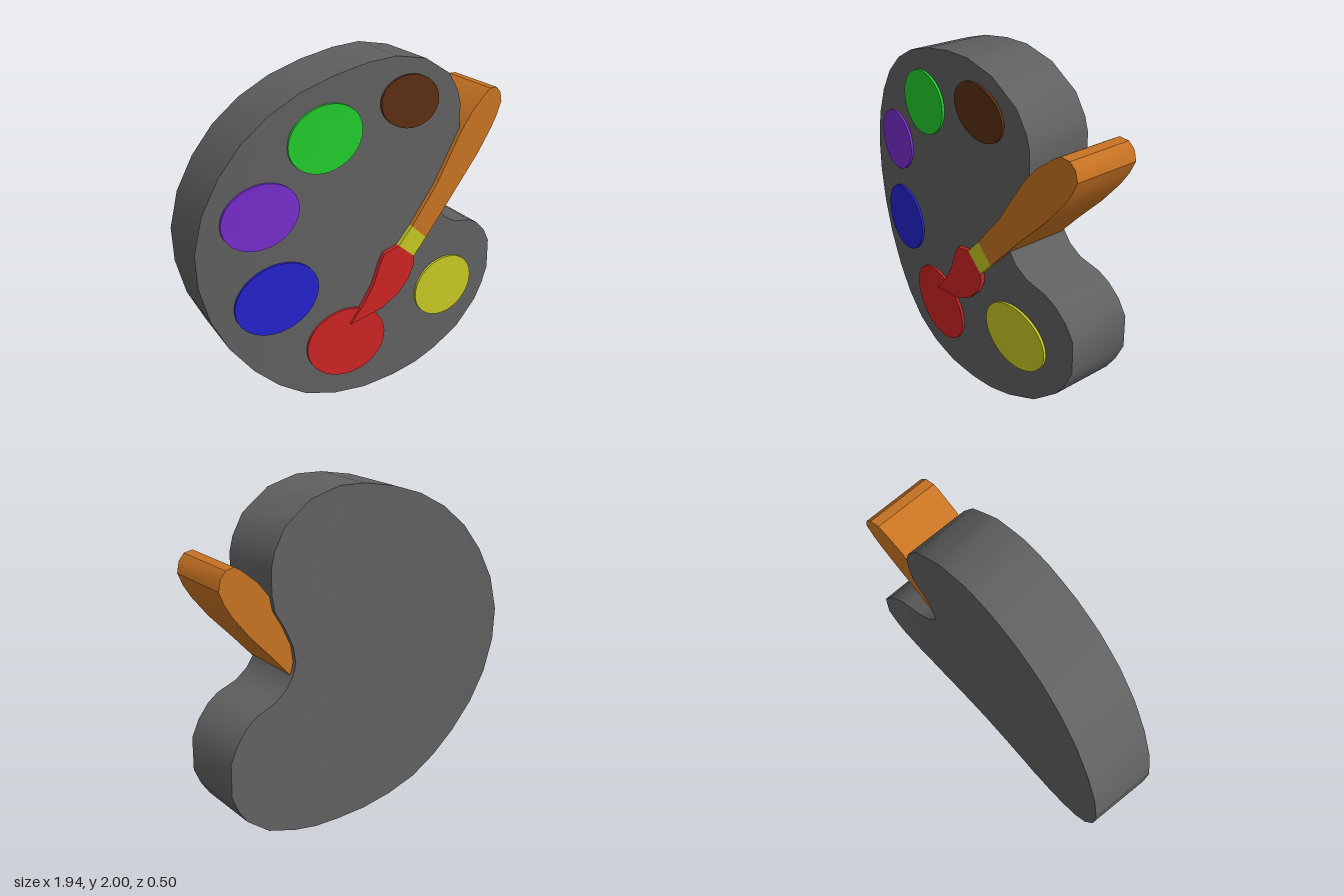
import * as THREE from 'three';
import { toCreasedNormals } from 'three/addons/utils/BufferGeometryUtils.js';

const BACK = -0.155, FRONT = 0.22;

// Split a triangle until no edge spans much in x, so it can bend smoothly
function splitTriangle(tri, out) {
  let k = 0, span = 0;
  for (let i = 0; i < 3; i++) {
    const d = Math.abs(tri[i].x - tri[(i + 1) % 3].x);
    if (d > span) { span = d; k = i; }
  }
  if (span < 0.13) {
    for (const p of tri) out.push(p.x, p.y, p.z);
    return;
  }
  const a = tri[k], b = tri[(k + 1) % 3], c = tri[(k + 2) % 3];
  const m = a.clone().add(b).multiplyScalar(0.5);
  splitTriangle([a, m, c], out);
  splitTriangle([m, b, c], out);
}

// Extrude an outline between two depths and bow it backwards towards the sides
function bowedSlab(points, back, front) {
  const flat = new THREE.ExtrudeGeometry(new THREE.Shape(points), {
    depth: front - back, bevelEnabled: false, curveSegments: 1,
  });
  const src = flat.index ? flat.toNonIndexed() : flat;
  const pos = src.attributes.position;
  const out = [];
  for (let i = 0; i < pos.count; i += 3) {
    splitTriangle([0, 1, 2].map((j) => new THREE.Vector3().fromBufferAttribute(pos, i + j)), out);
  }
  for (let i = 0; i < out.length; i += 3) {
    const x = out[i], z = out[i + 2] + back;
    out[i] = x * (1 + (z - FRONT) * 0.035);
    out[i + 2] = z - 0.104 * x * x;
  }
  const geo = new THREE.BufferGeometry();
  geo.setAttribute('position', new THREE.Float32BufferAttribute(out, 3));
  return toCreasedNormals(geo, 0.6);
}

const outline = (list) => list.map(([x, y]) => new THREE.Vector2(x, y));

function ellipse(x, y, rx, ry, tilt) {
  return new THREE.EllipseCurve(x, y, rx, ry, 0, Math.PI * 2, false, tilt).getPoints(40).slice(0, -1);
}

export function createModel() {
  const model = new THREE.Group();
  model.name = 'paintPalette';

  function add(parent, name, points, back, front, color) {
    const mesh = new THREE.Mesh(bowedSlab(points, back, front), new THREE.MeshStandardMaterial({ color }));
    mesh.name = name;
    parent.add(mesh);
  }

  // Palette board with the thumb notch on its left side
  add(model, 'board', outline([
    [0.17, 2], [0, 1.99], [-0.2, 1.95], [-0.39, 1.885], [-0.56, 1.79], [-0.71, 1.66],
    [-0.83, 1.5], [-0.925, 1.31], [-0.975, 1.1], [-0.97, 0.9], [-0.92, 0.69], [-0.83, 0.5],
    [-0.7, 0.325], [-0.56, 0.19], [-0.4, 0.085], [-0.21, 0.025], [-0.01, 0], [0.2, 0.01],
    [0.37, 0.035], [0.53, 0.085], [0.72, 0.175], [0.87, 0.31], [0.925, 0.4], [0.967, 0.505],
    [0.96, 0.7], [0.91, 0.79], [0.84, 0.86], [0.77, 0.9], [0.64, 0.93], [0.56, 0.98],
    [0.51, 1.045], [0.49, 1.11], [0.505, 1.21], [0.56, 1.33], [0.62, 1.43], [0.637, 1.52],
    [0.635, 1.66], [0.61, 1.74], [0.54, 1.85], [0.365, 1.96],
  ]), BACK, FRONT, 0x606060);

  // Dabs of paint: centre, radii, tilt, colour
  const paints = new THREE.Group();
  paints.name = 'paints';
  model.add(paints);
  const dabs = [
    ['brownPaint', 0.265, 1.743, 0.195, 0.148, -0.2, 0x5a2d12],
    ['greenPaint', -0.256, 1.625, 0.217, 0.181, 0.3, 0x22cc2c],
    ['purplePaint', -0.628, 1.255, 0.217, 0.18, 0.35, 0x772dcc],
    ['bluePaint', -0.553, 0.756, 0.246, 0.205, 0.4, 0x2422cc],
    ['redPaint', -0.134, 0.365, 0.254, 0.217, -0.15, 0xcc2424],
    ['yellowPaint', 0.567, 0.525, 0.225, 0.192, -0.15, 0xc6c624],
  ];
  for (const [name, x, y, rx, ry, tilt, color] of dabs) {
    add(paints, name, ellipse(x, y, rx, ry, tilt), 0.15, FRONT + 0.014, color);
  }

  // Brush lying across the board and through the notch
  const brush = new THREE.Group();
  brush.name = 'brush';
  model.add(brush);
  const brushBack = BACK + 0.025, brushFront = FRONT + 0.027;
  add(brush, 'handle', outline([
    [0.29, 1.005], [0.395, 0.905], [0.63, 1.175], [0.78, 1.34], [0.88, 1.47], [0.925, 1.545],
    [0.955, 1.617], [0.94, 1.675], [0.905, 1.71], [0.85, 1.715], [0.81, 1.69], [0.705, 1.6],
    [0.626, 1.5], [0.457, 1.22],
  ]), brushBack, brushFront, 0xc67222);
  add(brush, 'ferrule', outline([
    [0.29, 1.005], [0.2, 0.905], [0.31, 0.81], [0.395, 0.905],
  ]), brushBack, brushFront, 0xc6c624);
  add(brush, 'bristles', outline([
    [0.2, 0.905], [0.1, 0.88], [0.075, 0.83], [0.03, 0.7], [-0.04, 0.585], [-0.12, 0.485],
    [0.09, 0.53], [0.2, 0.59], [0.275, 0.67], [0.31, 0.75], [0.31, 0.81],
  ]), brushBack, brushFront, 0xcc2424);

  return model;
}
